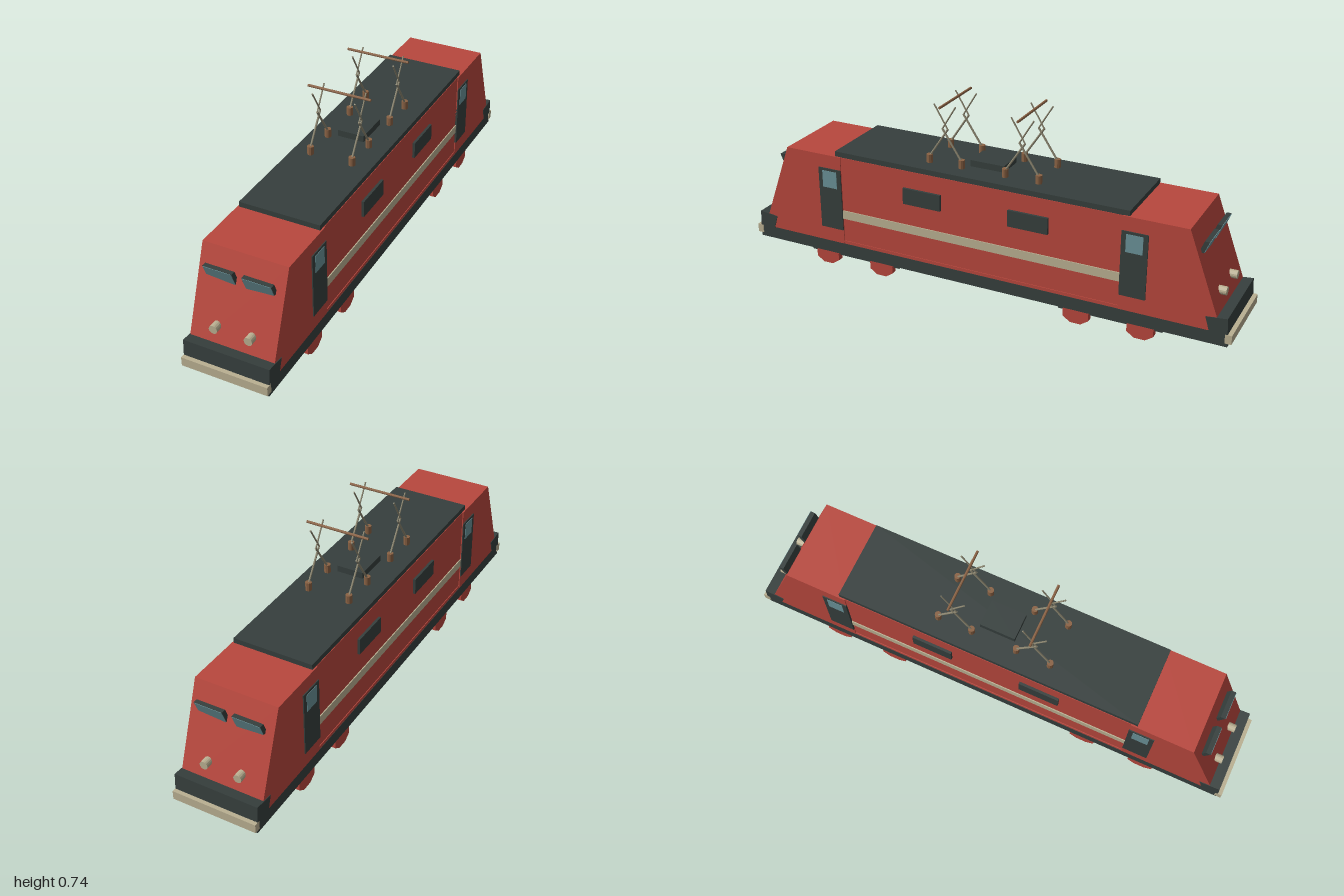
import * as THREE from 'three';

const mat = (color, extra = {}) => new THREE.MeshStandardMaterial({ color, flatShading: true, ...extra });

export function createModel() {
  const red = mat(0xb8473d), dark = mat(0x363f3d), cream = mat(0xbab092);
  const glass = mat(0x6a9298), brown = mat(0x8a6244), steel = mat(0x8c8670);
  const root = new THREE.Group();
  root.name = 'locomotive';

  const add = (parent, name, geometry, material) => {
    const m = new THREE.Mesh(geometry, material);
    m.name = name;
    parent.add(m);
    return m;
  };
  // Box given by its limits on each axis
  const box = (parent, name, material, [x0, x1], [y0, y1], [z0, z1]) => {
    const m = add(parent, name, new THREE.BoxGeometry(x1 - x0, y1 - y0, z1 - z0), material);
    m.position.set((x0 + x1) / 2, (y0 + y1) / 2, (z0 + z1) / 2);
    return m;
  };
  // Side profile of [z, y] points, extruded across the width
  const sideProfile = (points, width) => {
    const shape = new THREE.Shape(points.map(p => new THREE.Vector2(...p)));
    return new THREE.ExtrudeGeometry(shape, { depth: width, bevelEnabled: false })
      .translate(0, 0, -width / 2).rotateY(-Math.PI / 2);
  };
  // Round rod between two points
  const rod = (parent, name, material, a, b, r) => {
    const d = b.clone().sub(a);
    const m = add(parent, name, new THREE.CylinderGeometry(r, r, d.length(), 8), material);
    m.position.copy(a).addScaledVector(d, 0.5);
    m.quaternion.setFromUnitVectors(new THREE.Vector3(0, 1, 0), d.normalize());
  };

  // Chassis, central body and roof
  box(root, 'chassis', dark, [-0.163, 0.163], [0.055, 0.105], [-0.985, 0.985]);
  box(root, 'body', red, [-0.159, 0.159], [0.105, 0.474], [-0.6, 0.6]);
  box(root, 'bodySill', red, [-0.162, 0.162], [0.105, 0.118], [-0.59, 0.59]);
  box(root, 'roof', dark, [-0.157, 0.157], [0.474, 0.495], [-0.605, 0.605]);
  box(root, 'roofHatch', dark, [-0.053, 0.053], [0.495, 0.52], [-0.07, 0.07]);
  for (const s of [-1, 1]) {
    box(root, 'sideStripe', cream, [s * 0.161 - 0.002, s * 0.161 + 0.002], [0.215, 0.25], [-0.58, 0.58]);
    for (const z of [-0.22, 0.22])
      box(root, 'sideVent', dark, [s * 0.163 - 0.006, s * 0.163 + 0.006], [0.34, 0.405], [z - 0.08, z + 0.08]);
  }

  // One end of the locomotive, facing +z
  const buildEnd = () => {
    const end = new THREE.Group();
    add(end, 'cab', sideProfile([[0.58, 0.105], [0.962, 0.105], [0.825, 0.475], [0.58, 0.475]], 0.326), red);
    add(end, 'endGuard', sideProfile([[0.917, 0.104], [0.984, 0.104], [0.98, 0.167], [0.9, 0.158]], 0.331), dark);
    box(end, 'bufferBeam', cream, [-0.166, 0.166], [0.07, 0.105], [0.975, 1]);
    box(end, 'bogie', dark, [-0.147, 0.147], [0.04, 0.06], [0.34, 0.745]);

    for (const s of [-1, 1]) {
      // Doors with windows
      box(end, 'door', dark, [s * 0.163 - 0.004, s * 0.163 + 0.004], [0.165, 0.42], [0.58, 0.68]);
      box(end, 'doorWindow', glass, [s * 0.1655 - 0.003, s * 0.1655 + 0.003], [0.34, 0.41], [0.598, 0.662]);

      // Windscreens, leaning outward at the top
      const pane = (k, depth, z, name, material) => {
        const pts = [[0.018, 0.365], [0.13, 0.379], [0.13, 0.424], [0.018, 0.424]].map(([x, y]) =>
          new THREE.Vector2(s * (0.074 + (x - 0.074) * k), 0.398 + (y - 0.398) * k));
        const g = new THREE.ExtrudeGeometry(new THREE.Shape(pts), { depth, bevelEnabled: false });
        const p = g.attributes.position;
        for (let i = 0; i < p.count; i++) p.setZ(i, p.getZ(i) + z + (p.getY(i) - 0.395) * 0.4);
        g.computeVertexNormals();
        add(end, name, g, material);
      };
      pane(1, 0.018, 0.856, 'windscreenFrame', dark);
      pane(0.96, 0.003, 0.873, 'windscreen', glass);

      // Headlights
      const lamp = add(end, 'headlight', new THREE.CylinderGeometry(0.016, 0.016, 0.04, 16).rotateX(Math.PI / 2), cream);
      lamp.position.set(s * 0.067, 0.22, 0.925);

      // Faceted wheels
      for (const z of [0.415, 0.665]) {
        const g = new THREE.CylinderGeometry(0.055, 0.055, 0.025, 8)
          .rotateY(Math.PI / 8).rotateZ(Math.PI / 2).scale(1, 0.69, 1);
        add(end, 'wheel', g, red).position.set(s * 0.1475, 0.035, z);
      }
    }

    // Pantograph: two crossed pairs of jointed arms under a contact bar
    const panto = new THREE.Group();
    panto.name = 'pantograph';
    panto.position.z = 0.158;
    end.add(panto);
    const v = (x, y, z) => new THREE.Vector3(x, y, z);
    for (const x of [-0.084, 0.084]) {
      for (const s of [-1, 1]) {
        add(panto, 'insulator', new THREE.CylinderGeometry(0.0125, 0.0125, 0.033, 10), brown)
          .position.set(x, 0.5115, s * 0.068);
        rod(panto, 'lowerArm', steel, v(x, 0.52, s * 0.068), v(x, 0.64, -s * 0.012), 0.004);
        rod(panto, 'upperArm', steel, v(x, 0.638, -s * 0.012), v(x, 0.732, s * 0.045), 0.003);
      }
    }
    rod(panto, 'contactBar', brown, v(-0.125, 0.735, 0), v(0.125, 0.735, 0), 0.005);
    return end;
  };

  const front = buildEnd(), back = buildEnd();
  front.name = 'frontEnd';
  back.name = 'backEnd';
  back.rotation.y = Math.PI;
  root.add(front, back);
  return root;
}
